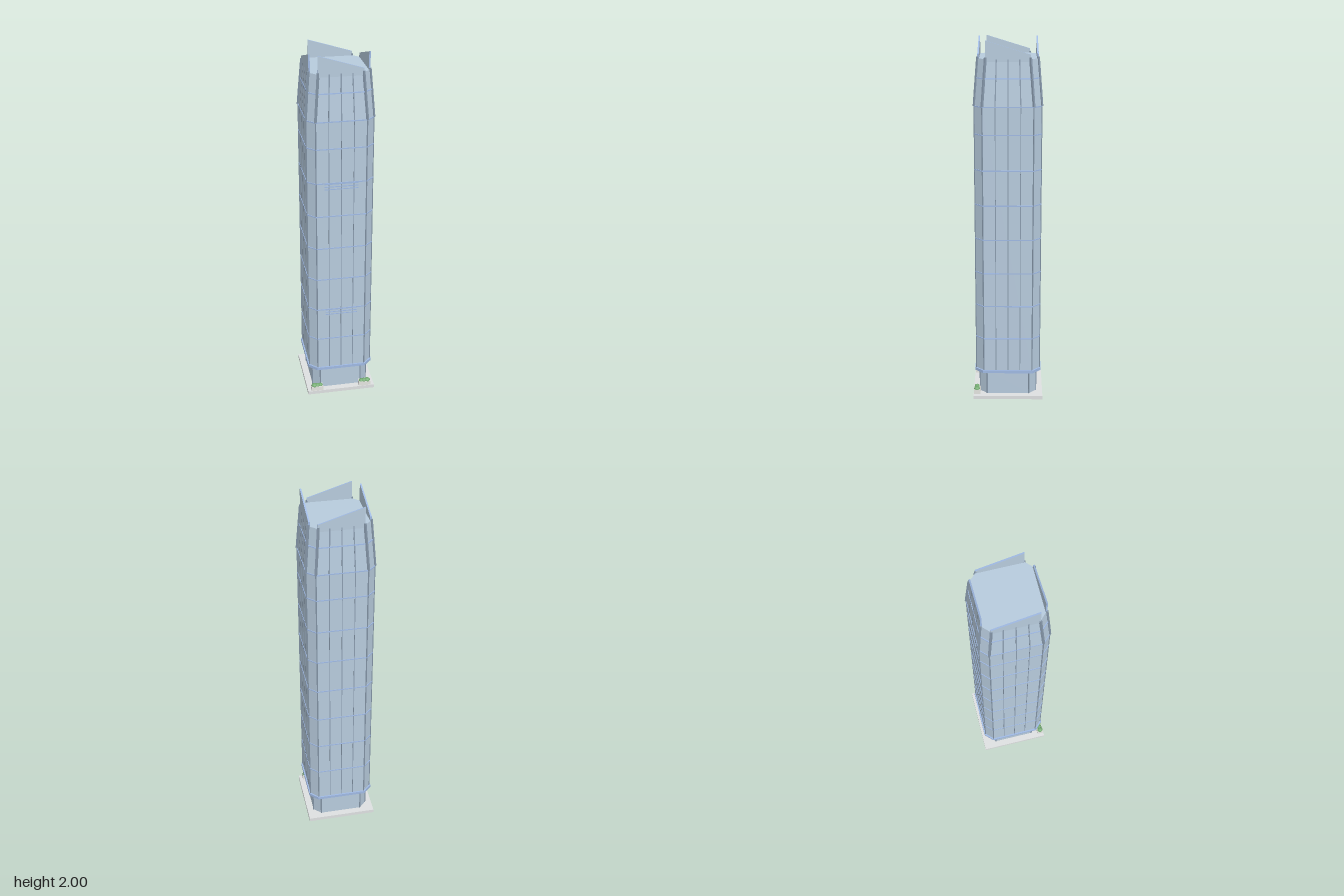
import * as THREE from 'three';

const mat = (name, hex) => {
  const m = new THREE.MeshStandardMaterial({ color: hex });
  m.name = name;
  return m;
};

export function createModel() {
  const glass = mat('blue grey glass', 0xb7cbdd);
  const band = mat('light blue band', 0xa0bae4);
  const steel = mat('steel mullion', 0x8a9caf);
  const stone = mat('pale stone', 0xdee0e1);
  const planterStone = mat('planter concrete', 0xe4e5e0);
  const leaf = mat('shrub green', 0x76ad74);

  const model = new THREE.Group();
  model.name = 'tower';
  const add = (name, geometry, material, parent = model) => {
    const mesh = new THREE.Mesh(geometry, material);
    mesh.name = name;
    parent.add(mesh);
    return mesh;
  };
  const group = (name) => {
    const g = new THREE.Group();
    g.name = name;
    model.add(g);
    return g;
  };

  // corners of a square with cut corners: h = half width, f = half flat
  const corners = (h, f) => [[h, f], [f, h], [-f, h], [-h, f], [-h, -f], [-f, -h], [f, -h], [h, -f]];

  // closed solid between two cut-corner squares
  const loft = (y0, h0, f0, y1, h1, f1) => {
    const a = corners(h0, f0), b = corners(h1, f1), pos = [];
    const put = (...pts) => pts.forEach((p) => pos.push(...p));
    for (let i = 0; i < 8; i++) {
      const j = (i + 1) % 8;
      const p = [a[i][0], y0, a[i][1]], q = [a[j][0], y0, a[j][1]];
      const r = [b[j][0], y1, b[j][1]], s = [b[i][0], y1, b[i][1]];
      put(p, r, q, p, s, r);
      put([0, y1, 0], r, s);
      put([0, y0, 0], p, q);
    }
    const g = new THREE.BufferGeometry();
    g.setAttribute('position', new THREE.Float32BufferAttribute(pos, 3));
    g.computeVertexNormals();
    return g;
  };

  // upright bar leaning from (x0,z0) at y0 to (x1,z1) at y1, turned about y
  const bar = (x0, z0, y0, x1, z1, y1, w, d, turn) => {
    const g = new THREE.BoxGeometry(w, 1, d);
    g.rotateY(turn);
    const p = g.attributes.position;
    for (let i = 0; i < p.count; i++) {
      const t = p.getY(i) + 0.5;
      p.setXYZ(i, p.getX(i) + x0 + (x1 - x0) * t, y0 + (y1 - y0) * t, p.getZ(i) + z0 + (z1 - z0) * t);
    }
    g.computeVertexNormals();
    return g;
  };

  // ground slab, lobby, skirt, shaft and tapered crown
  add('baseSlab', new THREE.BoxGeometry(0.39, 0.02, 0.39).translate(0, 0.01, 0), stone);
  add('lobby', loft(0.02, 0.158, 0.118, 0.158, 0.158, 0.118), glass);
  add('skirt', loft(0.156, 0.185, 0.139, 0.172, 0.185, 0.139), band);
  add('shaft', loft(0.172, 0.177, 0.135, 1.66, 0.177, 0.135), glass);
  add('crown', loft(1.66, 0.177, 0.135, 1.905, 0.157, 0.116), glass);

  // horizontal floor bands
  const bands = group('floorBands');
  for (let i = 1; i <= 8; i++) {
    const y = i === 8 ? 1.66 : 0.172 + i * 0.1915;
    add('floorBand', loft(y - 0.003, 0.18, 0.137, y + 0.003, 0.18, 0.137), band, bands);
  }
  add('crownBand', loft(1.803, 0.1685, 0.127, 1.809, 0.168, 0.1265), band, bands);

  // mullions on the four faces
  const mullions = group('faceMullions');
  for (let k = 0; k < 4; k++) {
    const face = new THREE.Group();
    face.name = 'faceMullionSet';
    face.rotation.y = k * Math.PI / 2;
    mullions.add(face);
    for (const s of [-1, 0, 1]) {
      add('shaftMullion', bar(s * 0.067, 0.177, 0.172, s * 0.067, 0.177, 1.66, 0.004, 0.003, 0), steel, face);
      add('crownMullion', bar(s * 0.067, 0.177, 1.66, s * 0.06, 0.157, 1.905, 0.006, 0.004, 0), steel, face);
    }
  }

  // posts on the cut corners of lobby, shaft and crown
  const posts = group('cornerPosts');
  const low = corners(0.158, 0.118), mid = corners(0.177, 0.135), top = corners(0.157, 0.116);
  for (let i = 0; i < 8; i++) {
    const turn = Math.atan2(Math.sign(mid[i][0]), Math.sign(mid[i][1]));
    const [lx, lz] = low[i], [mx, mz] = mid[i], [tx, tz] = top[i];
    add('lobbyPost', bar(lx, lz, 0.02, lx, lz, 0.158, 0.005, 0.005, turn), steel, posts);
    add('shaftPost', bar(mx, mz, 0.172, mx, mz, 1.66, 0.005, 0.005, turn), steel, posts);
    add('crownPost', bar(mx, mz, 1.66, tx, tz, 1.914, 0.01, 0.012, turn), steel, posts);
  }

  // sloped parapet blades above the roof, with light blue rims
  const blades = group('parapetBlades');
  const slope = new THREE.Shape([[-0.118, 1.89], [0.118, 1.89], [0.118, 1.928], [-0.118, 2]]
    .map(([x, y]) => new THREE.Vector2(x, y)));
  const blade = new THREE.ExtrudeGeometry(slope, { depth: 0.008, bevelEnabled: false }).translate(0, 0, -0.004);
  for (const s of [-1, 1]) {
    add('parapetBlade', blade, [glass, band], blades).position.z = s * 0.155;
    const side = add('parapetBlade', blade, [glass, band], blades);
    side.position.x = s * 0.155;
    side.rotation.y = Math.PI / 2;
  }

  // thin louvres on the front
  const louvres = group('frontLouvres');
  for (const y0 of [0.537, 1.301]) {
    for (const dy of [-0.015, 0, 0.015]) {
      add('louvre', new THREE.BoxGeometry(0.18, 0.005, 0.004).translate(0, y0 + dy, 0.177), band, louvres);
    }
  }

  // planters with shrubs at the front corners
  for (const s of [-1, 1]) {
    const g = group(s > 0 ? 'leftPlanter' : 'rightPlanter');
    add('planterBox', new THREE.BoxGeometry(0.068, 0.026, 0.036).translate(s * 0.14, 0.033, 0.174), planterStone, g);
    for (const [x, r] of [[0.157, 0.017], [0.138, 0.015], [0.121, 0.014]]) {
      const shrub = add('shrub', new THREE.SphereGeometry(r, 14, 10), leaf, g);
      shrub.position.set(s * x, 0.046, 0.176);
      shrub.scale.y = 0.8;
    }
  }
  return model;
}
